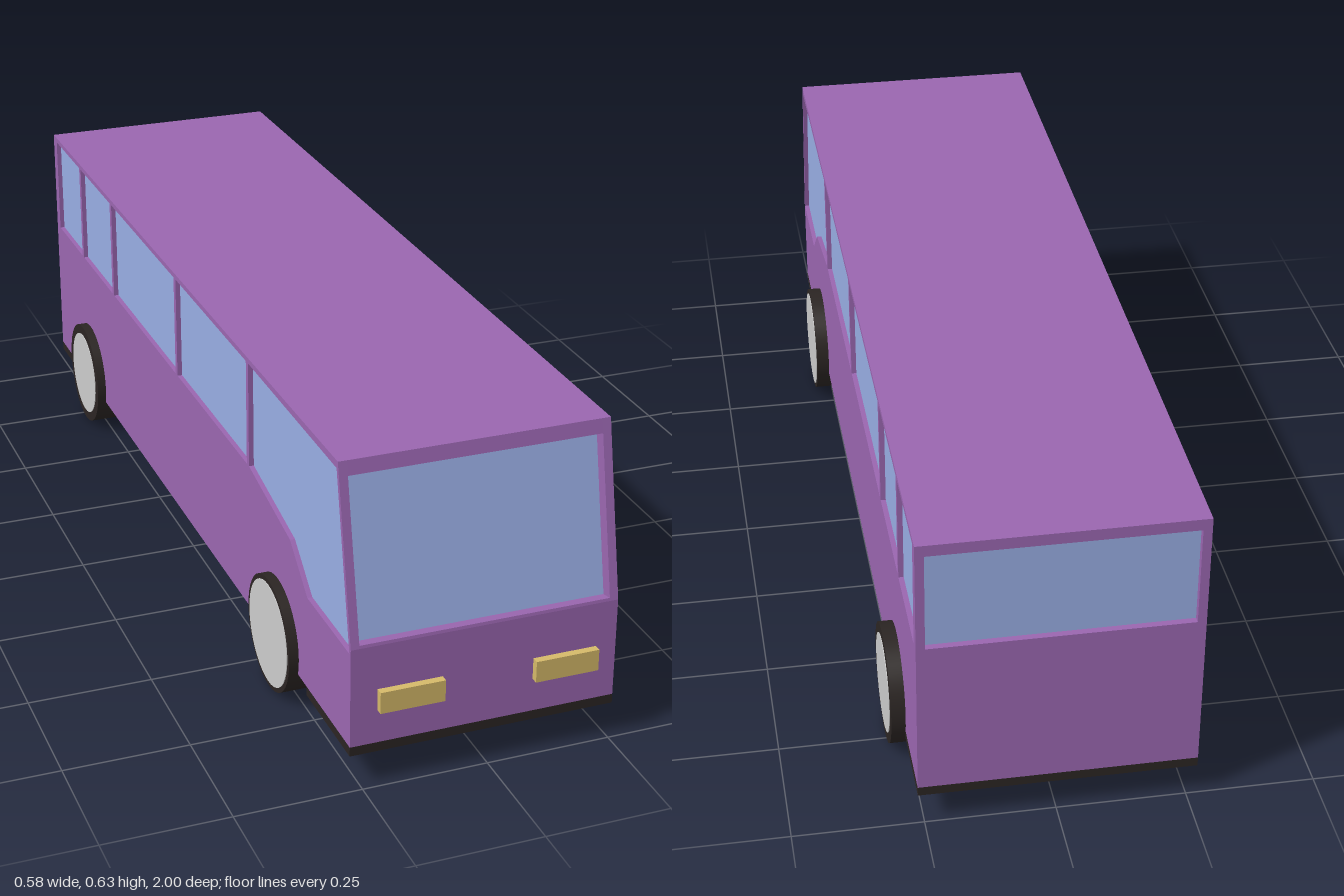
import * as THREE from 'three';

const mat = (color) => new THREE.MeshStandardMaterial({ color });
const paint = mat(0x9a66b0), glass = mat(0x98ade3), dark = mat(0x2b2523);
const lamp = mat(0xd5b969), metal = mat(0xcccccc);

const CX = -0.004;   // body centre line
const CORE = 0.249;  // half width of the inner body
const SKIN = 0.254;  // half width at the recessed side wall
const OUTER = 0.266; // half width at the outer frames

const toPoints = (list) => list.map(([z, y]) => new THREE.Vector2(z, y));

// Extrude a side profile of [z, y] points between two x positions
function slab(name, material, outline, x0, x1, holes = []) {
  const shape = new THREE.Shape(toPoints(outline));
  for (const hole of holes) shape.holes.push(new THREE.Path(toPoints(hole)));
  const lo = Math.min(x0, x1), hi = Math.max(x0, x1);
  const geometry = new THREE.ExtrudeGeometry(shape, { depth: hi - lo, bevelEnabled: false });
  geometry.rotateY(-Math.PI / 2).translate(hi, 0, 0);
  const mesh = new THREE.Mesh(geometry, material);
  mesh.name = name;
  return mesh;
}

function box(name, material, w, h, d, x, y, z) {
  const mesh = new THREE.Mesh(new THREE.BoxGeometry(w, h, d), material);
  mesh.name = name;
  mesh.position.set(x, y, z);
  return mesh;
}

function createWheel(name, side, z, hubRadius) {
  const wheel = new THREE.Group();
  wheel.name = name;
  const tyre = new THREE.Mesh(new THREE.CylinderGeometry(0.118, 0.118, 0.143, 40), dark);
  tyre.name = 'tyre';
  const hub = new THREE.Mesh(new THREE.CylinderGeometry(hubRadius, hubRadius, 0.01, 40), metal);
  hub.name = 'hub';
  hub.position.x = side * 0.068;
  tyre.rotation.z = hub.rotation.z = Math.PI / 2;
  wheel.add(tyre, hub);
  wheel.position.set(side * 0.218, 0.119, z);
  return wheel;
}

export function createModel() {
  const bus = new THREE.Group();
  bus.name = 'bus';
  const body = new THREE.Group();
  body.name = 'body';
  body.position.x = CX;
  bus.add(body);

  // Inner body with notches for the windscreen and rear window
  body.add(slab('innerBody', paint, [
    [0.985, 0.086], [0.985, 0.29], [0.9838, 0.296], [0.9564, 0.2904],
    [0.8933, 0.5994], [0.9207, 0.605], [0.915, 0.633], [-1, 0.633],
    [-1, 0.61], [-0.985, 0.61], [-0.985, 0.407], [-1, 0.407], [-1, 0.086],
  ], -CORE, CORE));

  // Windscreen and rear window
  body.add(slab('windscreen', glass,
    [[0.9584, 0.2908], [0.8953, 0.5998], [0.8903, 0.5988], [0.9534, 0.2898]], -CORE, CORE));
  body.add(slab('rearWindow', glass,
    [[-0.98, 0.407], [-0.98, 0.61], [-0.987, 0.61], [-0.987, 0.407]], -CORE, CORE));

  // Side walls: a solid sheet, an outer frame with openings, and the panes
  const outline = [[0.985, 0.086], [0.985, 0.29], [0.915, 0.633], [-1, 0.633], [-1, 0.086]];
  const windows = [
    [[0.978, 0.28], [0.764, 0.28], [0.67, 0.356], [0.437, 0.402], [0.437, 0.622], [0.909, 0.618]],
    ...[[0.424, -0.024], [-0.037, -0.503], [-0.516, -0.759], [-0.772, -0.974]].map(
      ([a, b]) => [[a, 0.402], [b, 0.402], [b, 0.622], [a, 0.622]]),
  ];
  for (const side of [1, -1]) {
    const label = side > 0 ? 'left' : 'right';
    body.add(slab(label + 'SideSheet', paint, outline, side * CORE, side * SKIN));
    body.add(slab(label + 'SideFrame', paint, outline, side * SKIN, side * OUTER, windows));
    windows.forEach((pane, i) => body.add(
      slab(label + 'Window' + (i + 1), glass, pane, side * (SKIN - 0.002), side * (SKIN + 0.002))));

    // Headlights and wheels
    bus.add(box(label + 'Headlight', lamp, 0.128, 0.044, 0.03, side * 0.155 + 0.002, 0.177, 0.985));
    bus.add(createWheel(label + 'FrontWheel', side, 0.6, 0.108));
    bus.add(createWheel(label + 'RearWheel', side, -0.724, 0.097));
  }

  // Dark skirts under the nose and tail
  body.add(box('frontSkirt', dark, OUTER * 2, 0.019, 0.225, 0, 0.0765, 0.8725));
  body.add(box('rearSkirt', dark, OUTER * 2, 0.019, 0.18, 0, 0.0765, -0.91));
  return bus;
}
